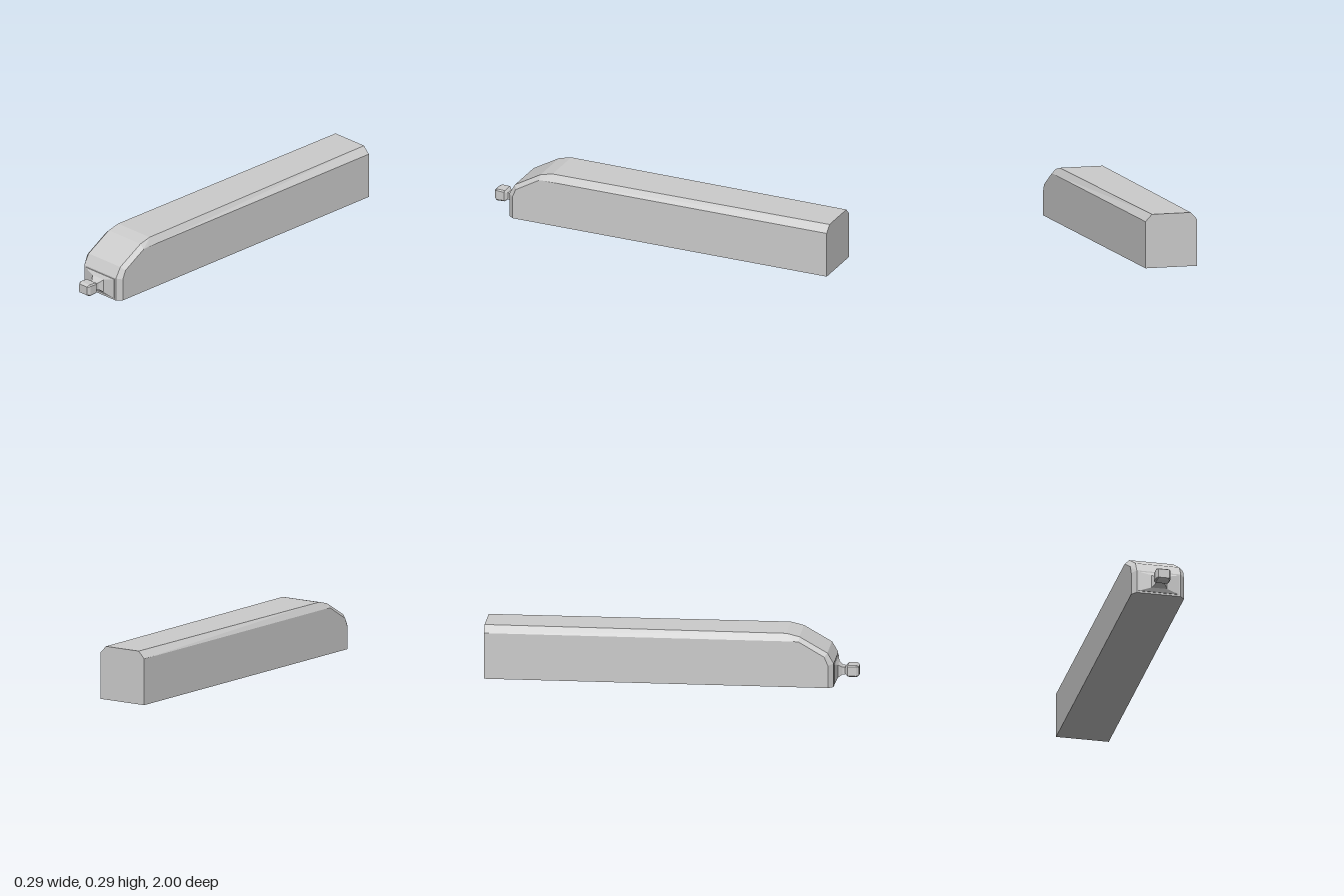
import * as THREE from 'three';

// Flat-shaded mesh from convex polygons, corners counter-clockwise from outside
function polyMesh(name, polys) {
  const pos = [];
  for (const p of polys)
    for (let i = 1; i < p.length - 1; i++) pos.push(...p[0], ...p[i], ...p[i + 1]);
  const geo = new THREE.BufferGeometry();
  geo.setAttribute('position', new THREE.Float32BufferAttribute(pos, 3));
  geo.computeVertexNormals();
  const mesh = new THREE.Mesh(geo, new THREE.MeshStandardMaterial({ color: 0xcccccc, flatShading: true }));
  mesh.name = name;
  return mesh;
}

const mirror = (poly) => poly.map(([x, y, z]) => [-x, y, z]).reverse();

// Long car body: flat top, bevelled shoulders, sloping nose
function makeBody() {
  // roof edge and wall edge, from the back over the nose to the ground
  const roof = [[0.108, 0.29, -1], [0.12, 0.29, 0.62], [0.12, 0.273, 0.69],
    [0.12, 0.187, 0.84], [0.12, 0.13, 0.873], [0.12, 0, 0.873]];
  const wall = [[0.144, 0.252, -1], [0.144, 0.252, 0.66], [0.144, 0.25, 0.688],
    [0.144, 0.17, 0.825], [0.144, 0.123, 0.845], [0.144, 0, 0.845]];
  const flip = ([x, y, z]) => [-x, y, z];
  const polys = [];
  for (let i = 0; i < roof.length - 1; i++) {
    const bevel = [roof[i], roof[i + 1], wall[i + 1], wall[i]];
    polys.push(bevel, mirror(bevel));
    polys.push([flip(roof[i]), flip(roof[i + 1]), roof[i + 1], roof[i]]);
  }
  const side = [[0.144, 0, -1], ...wall];
  polys.push(side, mirror(side));
  // back end and underside
  polys.push([[-0.144, 0, -1], flip(wall[0]), flip(roof[0]), roof[0], wall[0], [0.144, 0, -1]]);
  polys.push([[-0.144, 0, -1], [0.144, 0, -1], wall[5], roof[5], flip(roof[5]), flip(wall[5])]);
  return polyMesh('body', polys);
}

// Loft of rectangles along z with optional corner cuts: [z, halfWidth, yLow, yHigh, cut]
function loft(name, sections) {
  const rings = sections.map(([z, w, a, b, c]) => [
    [-w + c, a, z], [w - c, a, z], [w, a + c, z], [w, b - c, z],
    [w - c, b, z], [-w + c, b, z], [-w, b - c, z], [-w, a + c, z]]);
  const polys = [rings[rings.length - 1]];
  for (let i = 0; i < rings.length - 1; i++)
    for (let j = 0; j < 8; j++) {
      const k = (j + 1) % 8;
      polys.push([rings[i][j], rings[i][k], rings[i + 1][k], rings[i + 1][j]]);
    }
  return polyMesh(name, polys);
}

export function createModel() {
  const group = new THREE.Group();
  group.add(makeBody());
  // front panel flaring into the neck
  group.add(loft('couplerPanel', [
    [0.87, 0.11, 0.01, 0.122, 0], [0.876, 0.11, 0.01, 0.122, 0],
    [0.888, 0.042, 0.03, 0.102, 0], [0.91, 0.026, 0.045, 0.086, 0],
    [0.935, 0.024, 0.048, 0.085, 0]]));
  // block at the end of the neck
  group.add(loft('couplerHead', [
    [0.925, 0.024, 0.048, 0.085, 0.004], [0.94, 0.04, 0.036, 0.098, 0.007],
    [0.985, 0.04, 0.034, 0.1, 0.007], [1, 0.03, 0.042, 0.091, 0.003]]));
  return group;
}
